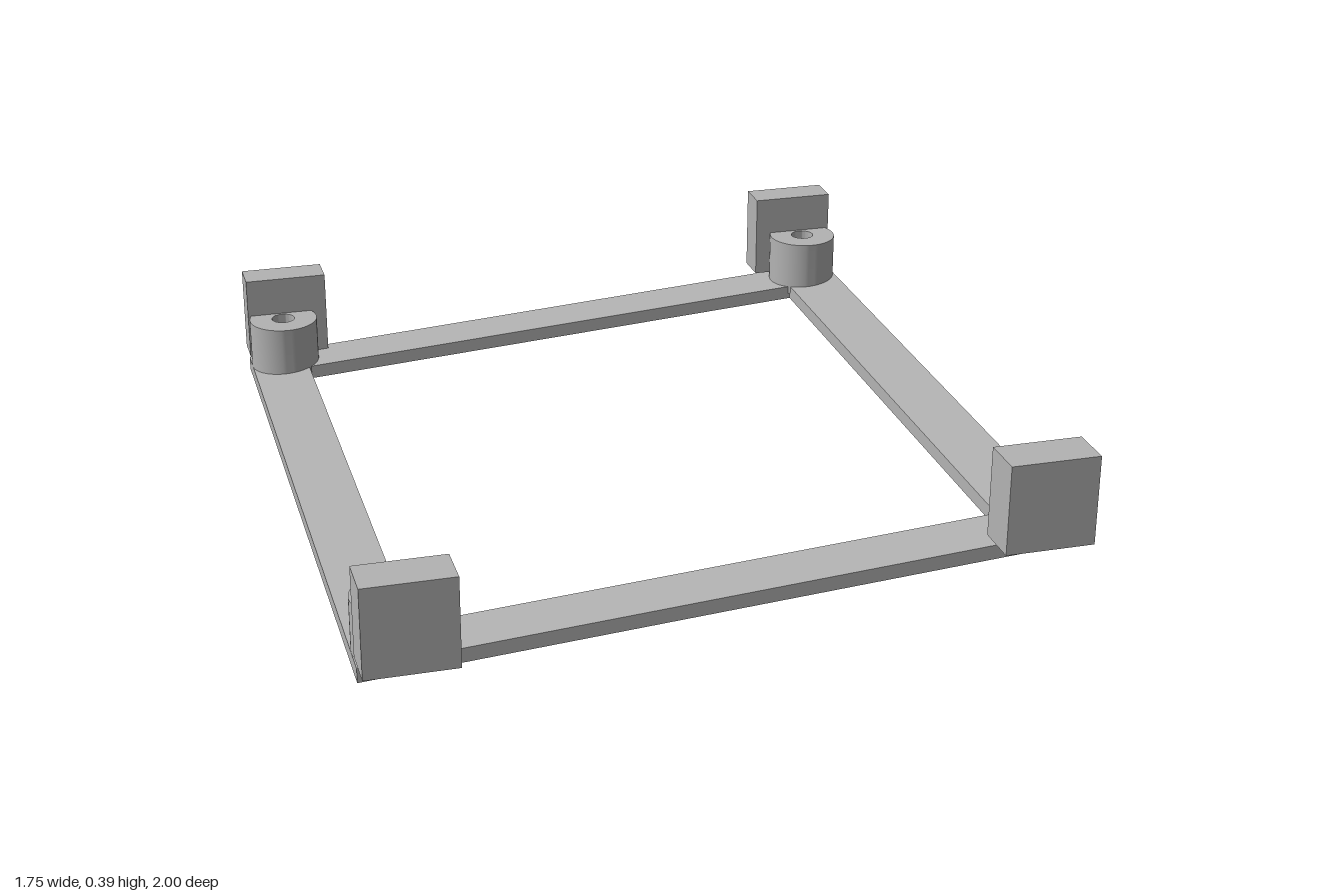
import * as THREE from 'three';
import { toCreasedNormals } from 'three/addons/utils/BufferGeometryUtils.js';

const HOLE_R = 0.032, BOSS_R = 0.095, BOSS_X = 0.78;
const FRONT_Z = 0.845, BACK_Z = -0.87;

const circle = (Type, x, z, r) => new Type().absarc(x, -z, r, 0, Math.PI * 2, false);

const rect = (Type, x0, x1, z0, z1) => new Type([
  new THREE.Vector2(x0, -z1), new THREE.Vector2(x1, -z1),
  new THREE.Vector2(x1, -z0), new THREE.Vector2(x0, -z0),
]);

// Extrude a plan outline upwards, keeping rims sharp and walls smooth
function extrudeUp(shape, height) {
  const g = new THREE.ExtrudeGeometry(shape, { depth: height, bevelEnabled: false, curveSegments: 32 });
  g.rotateX(-Math.PI / 2);
  return toCreasedNormals(g, 0.6);
}

export function createModel() {
  const group = new THREE.Group();
  const grey = new THREE.MeshStandardMaterial({ color: 0xb3b3b3 });
  grey.name = 'grey';

  const add = (name, geometry, x = 0, y = 0, z = 0, parent = group) => {
    const mesh = new THREE.Mesh(geometry, grey);
    mesh.name = name;
    mesh.position.set(x, y, z);
    parent.add(mesh);
  };

  // Sloping rectangular frame with a screw hole at each corner
  const outline = rect(THREE.Shape, -0.875, 0.875, -0.94, 0.92);
  outline.holes.push(rect(THREE.Path, -0.722, 0.722, -0.8, 0.77));
  for (const x of [-BOSS_X, BOSS_X])
    for (const z of [FRONT_Z, BACK_Z]) outline.holes.push(circle(THREE.Path, x, z, HOLE_R));
  const frame = extrudeUp(outline, 0.037);
  frame.applyMatrix4(new THREE.Matrix4().set(
    1, 0, 0, 0,
    0.0686, 1, 0, 0.06,
    0, 0, 1, 0,
    0, 0, 0, 1));
  add('frame', frame);

  // Upright corner mounts: a hollow screw boss fused to an outer block
  const ring = circle(THREE.Shape, 0, 0, BOSS_R);
  ring.holes.push(circle(THREE.Path, 0, 0, HOLE_R));
  for (const side of [-1, 1]) {
    const base = side < 0 ? 0.05 : 0.155;
    for (const end of ['front', 'back']) {
      const mount = new THREE.Group();
      mount.name = `${end}${side < 0 ? 'Right' : 'Left'}Mount`;
      group.add(mount);
      const isFront = end === 'front';
      add('boss', extrudeUp(ring, 0.155), side * BOSS_X, base - 0.03, isFront ? FRONT_Z : BACK_Z, mount);
      const inner = isFront ? 0.887 : 0.91;
      const block = new THREE.BoxGeometry(0.225, 0.23, 1 - inner);
      add('block', block, side * 0.7625, base + 0.115, (isFront ? 1 : -1) * (1 + inner) / 2, mount);
    }
  }
  return group;
}
